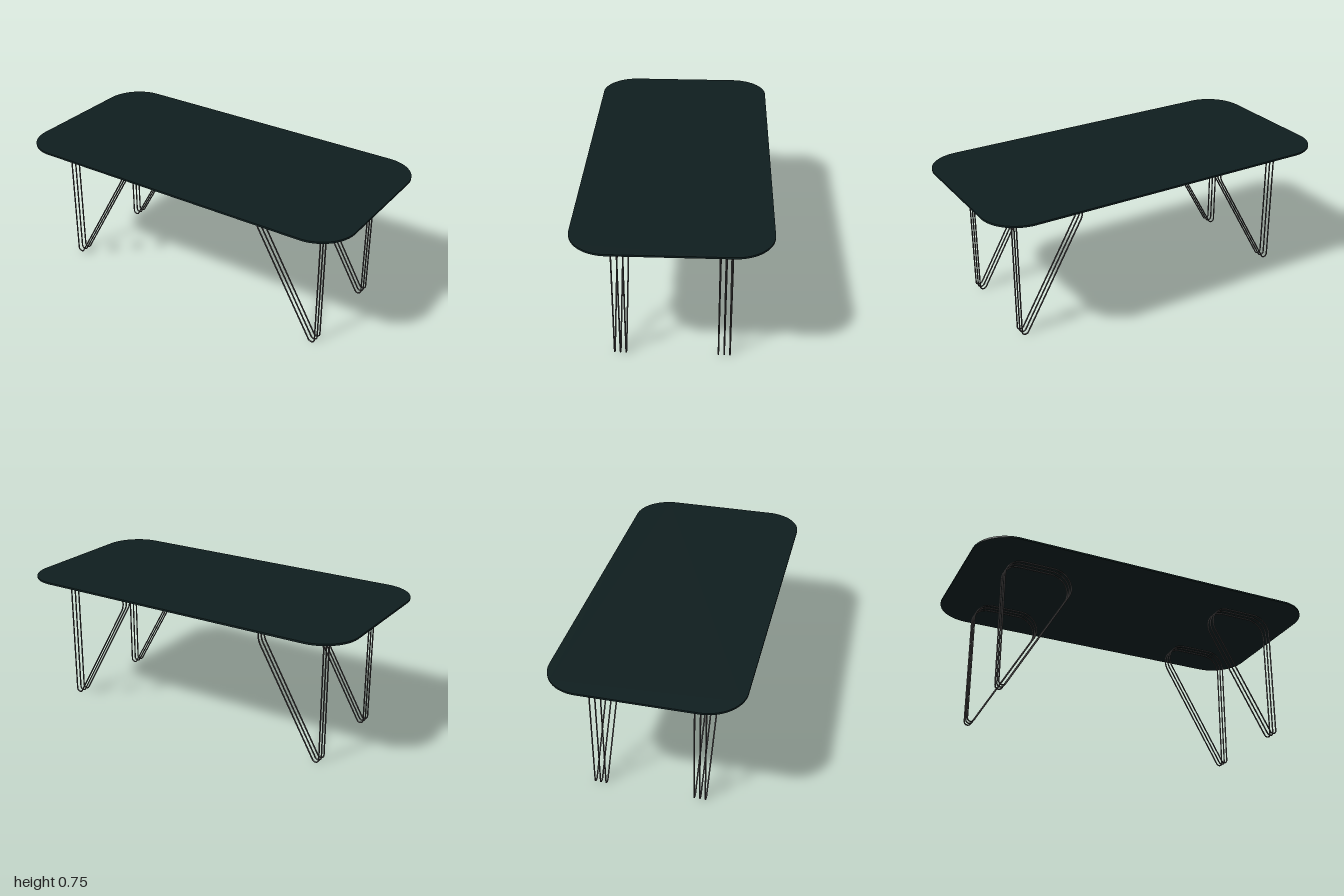
import * as THREE from 'three';
import { toCreasedNormals } from 'three/addons/utils/BufferGeometryUtils.js';

const HEIGHT = 0.75, THICK = 0.01, ROD = 0.004;

// Flat path lifted into 3D so that a tube can follow it
class FlatCurve extends THREE.Curve {
  constructor(path) {
    super();
    this.path = path;
    this.arcLengthDivisions = 800;
  }
  getPoint(t, target = new THREE.Vector3()) {
    const p = this.path.getPoint(t);
    return target.set(p.x, p.y, 0);
  }
}

// Rounded rectangle centred on the origin
function roundedRect(w, d, r) {
  const x = w / 2 - r, y = d / 2 - r, s = new THREE.Shape();
  s.absarc(x, y, r, 0, Math.PI / 2);
  s.absarc(-x, y, r, Math.PI / 2, Math.PI);
  s.absarc(-x, -y, r, Math.PI, Math.PI * 1.5);
  s.absarc(x, -y, r, Math.PI * 1.5, Math.PI * 2);
  s.closePath();
  return s;
}

// Closed rod loop: two wide upper bends and a tight bend at the foot
function rodLoop() {
  const outer = 0.816, top = HEIGHT - THICK - ROD;
  const R = 0.1, r = 0.019, innerX = 0.54;
  const footX = outer - r, footY = r + ROD, bendY = top - R;
  // Angle of the slanted side, tangent to the inner bend and the foot
  const dx = footX - innerX, dy = bendY - footY;
  const slant = Math.atan2(dx, dy) + Math.asin((R - r) / Math.hypot(dx, dy));
  const path = new THREE.Path();
  path.moveTo((innerX + outer - R) / 2, top);
  path.absarc(outer - R, bendY, R, Math.PI / 2, 0, true);
  path.absarc(footX, footY, r, 0, Math.PI + slant, true);
  path.absarc(innerX, bendY, R, Math.PI + slant, Math.PI / 2, true);
  path.closePath();
  return new THREE.TubeGeometry(new FlatCurve(path), 320, ROD, 8, true);
}

export function createModel() {
  const table = new THREE.Group();
  table.name = 'table';
  const topMat = new THREE.MeshStandardMaterial({ color: 0x0f1e1f });
  const rodMat = new THREE.MeshStandardMaterial({ color: 0x474445 });

  // Thin top with rounded corners
  const slab = new THREE.ExtrudeGeometry(roundedRect(2, 1, 0.2), {
    depth: THICK, bevelEnabled: false, curveSegments: 24,
  });
  slab.rotateX(-Math.PI / 2).translate(0, HEIGHT - THICK, 0);
  const top = new THREE.Mesh(toCreasedNormals(slab, 0.6), topMat);
  top.name = 'tableTop';
  table.add(top);

  // Four legs, each of three parallel rod loops
  const loop = rodLoop();
  for (const side of [1, -1]) {
    for (const end of [1, -1]) {
      const leg = new THREE.Group();
      leg.name = (end > 0 ? 'front' : 'back') + (side > 0 ? 'Left' : 'Right') + 'Leg';
      leg.position.z = end * 0.27;
      leg.rotation.y = side > 0 ? 0 : Math.PI;
      for (const z of [-0.03, 0, 0.03]) {
        const rod = new THREE.Mesh(loop, rodMat);
        rod.name = 'legRod';
        rod.position.z = z;
        leg.add(rod);
      }
      table.add(leg);
    }
  }
  return table;
}
